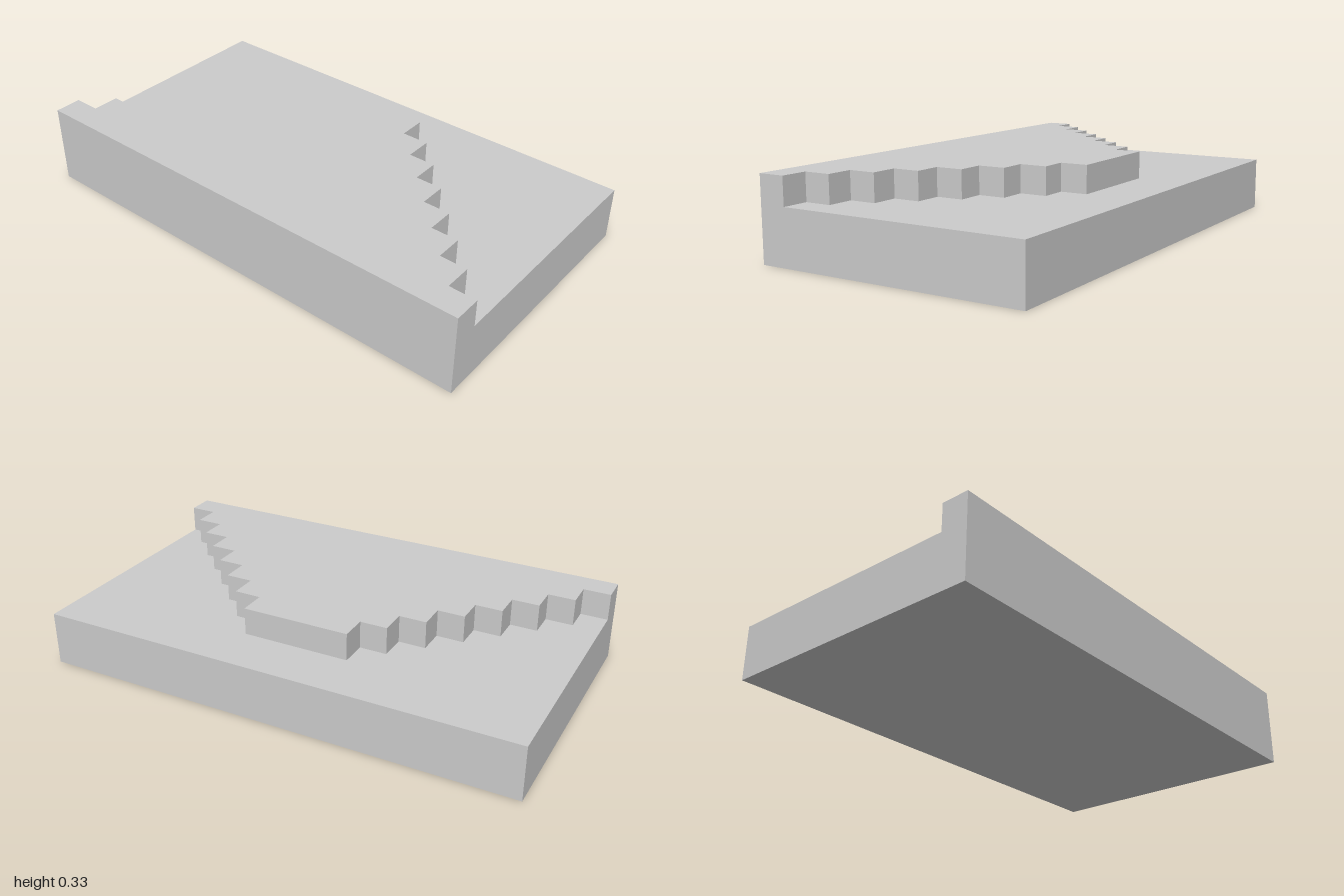
import * as THREE from 'three';

const U = 1 / 9; // one grid unit: the model is 18 x 10 units, 3 high

export function createModel() {
  const group = new THREE.Group();
  group.name = 'steppedTerrace';
  const material = new THREE.MeshStandardMaterial({ color: 0xcccccc, flatShading: true });

  // Flat rectangular slab
  const base = new THREE.Mesh(new THREE.BoxGeometry(18 * U, 2 * U, 10 * U), material);
  base.name = 'base';
  base.position.y = U;
  group.add(base);

  // Outline of the raised layer, seen from above: straight front, stepped sides
  const steps = [];
  for (let i = 0; i < 8; i++) {
    steps.push([9 - i, i - 4]);
    steps.push([i < 7 ? 8 - i : 2, i - 4]);
  }
  steps.pop(); // the last level runs straight across the back
  const mirrored = steps.map(([x, y]) => [-x, y]).reverse();
  const outline = [[-9, -5], [9, -5], ...steps, ...mirrored];
  const shape = new THREE.Shape(outline.map(([x, y]) => new THREE.Vector2(x * U, y * U)));

  // Raised layer, one unit thick, lying on the slab
  const geometry = new THREE.ExtrudeGeometry(shape, { depth: U, bevelEnabled: false });
  geometry.rotateX(-Math.PI / 2);
  const terrace = new THREE.Mesh(geometry, material);
  terrace.name = 'raisedTerrace';
  terrace.position.y = 2 * U;
  group.add(terrace);

  return group;
}
